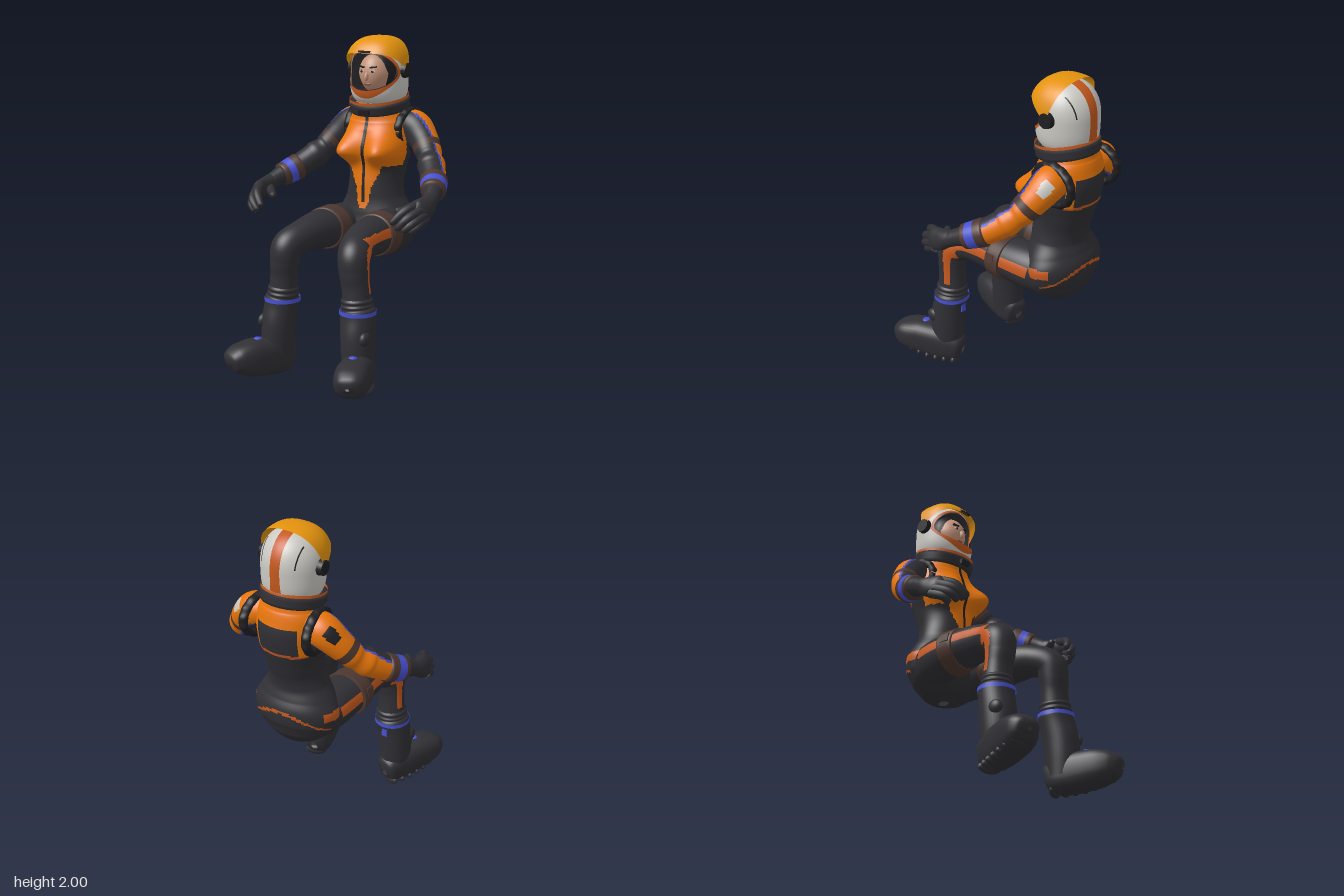
import * as THREE from 'three';
import { mergeVertices } from 'three/addons/utils/BufferGeometryUtils.js';

const V = (x, y, z) => new THREE.Vector3(x, y, z);
const paint = (name, color) => Object.assign(
  new THREE.MeshStandardMaterial({ color, side: THREE.DoubleSide }), { name });

export function createModel() {
  const model = new THREE.Group();
  model.name = 'seatedAstronaut';
  const suit = paint('charcoal suit', 0x303035), black = paint('black', 0x1f1f23);
  const orange = paint('orange', 0xee780a), rust = paint('rust orange', 0xc4581d);
  const amber = paint('amber visor', 0xe3920d), blue = paint('blue trim', 0x4650d2);
  const brown = paint('brown strap', 0x4d3730), white = paint('helmet white', 0xcbc9c3);
  const skin = paint('skin', 0xc39379), lip = paint('lips', 0x984f48);

  const add = (parent, name, geometry, material) => {
    const m = new THREE.Mesh(geometry, material);
    m.name = name;
    parent.add(m);
    return m;
  };
  const box = (parent, name, mat, size, pos, rot = [0, 0, 0]) => {
    const m = add(parent, name, new THREE.BoxGeometry(...size), mat);
    m.position.set(...pos);
    m.rotation.set(...rot);
    return m;
  };
  const ball = (parent, name, mat, size, pos) => {
    const g = new THREE.SphereGeometry(1, 20, 14).scale(...size);
    const m = add(parent, name, g, mat);
    m.position.set(...pos);
    return m;
  };

  // Smooth surface from point(u, v); pick(u, v) chooses the material of each cell
  function grid(parent, name, nu, nv, point, pick) {
    const pos = [], lists = new Map();
    for (let j = 0; j <= nv; j++) for (let i = 0; i <= nu; i++) pos.push(...point(i / nu, j / nv).toArray());
    for (let j = 0; j < nv; j++) for (let i = 0; i < nu; i++) {
      const mat = pick((i + 0.5) / nu, (j + 0.5) / nv);
      if (!lists.has(mat)) lists.set(mat, []);
      const a = j * (nu + 1) + i, b = a + 1, c = b + nu + 1, d = c - 1;
      lists.get(mat).push(a, b, c, a, c, d);
    }
    let g = new THREE.BufferGeometry();
    g.setAttribute('position', new THREE.Float32BufferAttribute(pos, 3));
    g.setIndex([...lists.values()].flat());
    g = mergeVertices(g, 1e-5);
    g.computeVertexNormals();
    let start = 0, k = 0;
    for (const l of lists.values()) { g.addGroup(start, l.length, k++); start += l.length; }
    return add(parent, name, g, [...lists.keys()]);
  }

  // Loft of ellipses along points [x, y, z, radiusA, radiusB]; radiusA lies along ref
  function limb(parent, name, pts, ref, nu, nv, pick, power = 2, warp = p => p) {
    const path = new THREE.CatmullRomCurve3(pts.map(p => V(p[0], p[1], p[2])));
    const radii = new THREE.CatmullRomCurve3(pts.map(p => V(p[3], p[4] ?? p[3], 0)));
    const sq = c => Math.sign(c) * Math.abs(c) ** (2 / power);
    const offset = (u, v) => {
      const T = path.getTangent(v), A = ref.clone().addScaledVector(T, -ref.dot(T)).normalize();
      const B = T.clone().cross(A), r = radii.getPoint(v), f = u * Math.PI * 2;
      return A.multiplyScalar(sq(Math.cos(f)) * r.x).addScaledVector(B, sq(Math.sin(f)) * r.y);
    };
    const point = (u, v) => warp(path.getPoint(v).add(offset(u % 1, v)));
    const choose = pick.isMaterial ? () => pick
      : (u, v) => pick(point(u, v), offset(u, v).normalize(), v, u > 0.5 ? u - 1 : u);
    return grid(parent, name, nu, nv, point, choose);
  }
  const X = V(1, 0, 0), Y = V(0, 1, 0);

  // Swells the front of the torso into the chest
  const chest = p => {
    const ax = Math.abs(p.x), dy = p.y - 1.305;
    const g = Math.exp(-(((ax - 0.112) / 0.082) ** 2) - (dy / (dy > 0 ? 0.1 : 0.066)) ** 2)
      * THREE.MathUtils.clamp((p.z + 0.5) / 0.1, 0, 1);
    return V(p.x * (1 + 0.2 * g), p.y, p.z + 0.118 * g);
  };

  // Torso and pelvis with painted panels
  limb(model, 'torso', [
    [0, 0.642, -0.38, 0.03, 0.03], [0, 0.67, -0.385, 0.15, 0.1], [0, 0.72, -0.385, 0.215, 0.145],
    [0, 0.8, -0.38, 0.262, 0.182], [0, 0.87, -0.38, 0.268, 0.19], [0, 0.95, -0.372, 0.232, 0.172],
    [0, 1.03, -0.368, 0.185, 0.155], [0, 1.12, -0.375, 0.17, 0.16], [0, 1.22, -0.395, 0.182, 0.17],
    [0, 1.32, -0.41, 0.203, 0.185], [0, 1.42, -0.425, 0.205, 0.185], [0, 1.49, -0.425, 0.2, 0.172],
    [0, 1.545, -0.42, 0.172, 0.16], [0, 1.6, -0.42, 0.15, 0.15]], X, 112, 130, p => {
    const ax = Math.abs(p.x), front = p.z > -0.37;
    if (front && ax < 0.009 && p.y > 1) return black;
    if (front && p.y > 1.225) return orange;
    if (front && p.y > 0.96 && ax < 0.045 + Math.max(0, p.y - 1.08) * 0.5 - Math.max(0, 1.02 - p.y) * 0.4) return orange;
    if (p.y > 1.47) return orange;
    if (!front && p.y > 1.29 && ax > 0.128 && ax < 0.166) return orange;
    if (!front && Math.abs(p.y - 1.29) < 0.009 && ax < 0.166) return rust;
    if (ax > 0.2 && p.z < -0.2 && p.z > -0.47 && Math.abs(p.y - 0.873) < 0.028) return rust;
    if (p.z < -0.42 && Math.abs(p.y - 0.785 - 0.11 * Math.cos(p.x * 6.2)) < 0.009) return rust;
    return suit;
  }, 2, chest);

  // Everything that is mirrored; s is 1 for the left side and -1 for the right
  for (const s of [1, -1]) {
    const side = new THREE.Group();
    side.name = s > 0 ? 'leftSide' : 'rightSide';
    side.scale.x = s;
    model.add(side);

    // Padded shoulder harness
    const loop = [];
    for (let i = 0; i <= 28; i++) {
      const f = i / 28 * Math.PI * 2;
      loop.push([0.19 - 0.015 * Math.cos(f), 1.435 + 0.112 * Math.sin(f), -0.46 + 0.138 * Math.cos(f),
        0.028, i % 2 ? 0.025 : 0.018]);
    }
    limb(side, 'shoulderHarness', loop, X, 12, 84, black);

    // Arm with orange back panel, blue piping and shoulder patch
    const patch = V(0.5, 0.55, -0.67).normalize();
    limb(side, 'arm', [
      [0.13, 1.465, -0.45, 0.085], [0.22, 1.45, -0.455, 0.1], [0.295, 1.385, -0.427, 0.09],
      [0.365, 1.3, -0.375, 0.08], [0.422, 1.235, -0.305, 0.08], [0.478, 1.18, -0.225, 0.075],
      [0.52, 1.145, -0.15, 0.066], [0.55, 1.115, -0.07, 0.05], [0.565, 1.09, -0.02, 0.046]],
    Y, 60, 90, (p, n, t) => {
      if (Math.abs(t - 0.32) < 0.02) return brown;
      const d = n.dot(V(0.5, 0.62 - 1.25 * t, -0.74).normalize()), edge = 0.22 + 0.45 * t;
      if (t > 0.14 && t < 0.225 && n.dot(patch) > 0.92) return s > 0 ? white : black;
      if (t < 0.72 && d > edge) return orange;
      return t > 0.1 && t < 0.72 && d > edge - 0.17 ? blue : suit;
    });
    limb(side, 'cuff', [[0.476, 1.18, -0.233, 0.07], [0.484, 1.174, -0.218, 0.083], [0.515, 1.149, -0.16, 0.077],
      [0.533, 1.132, -0.118, 0.072], [0.538, 1.127, -0.106, 0.05]], Y, 28, 25,
    (p, n, t) => Math.abs(t - 0.5) < 0.09 ? blue : brown);

    // Gloved hand
    limb(side, 'palm', [[0.555, 1.11, -0.06, 0.045, 0.045], [0.566, 1.09, -0.01, 0.052, 0.046],
      [0.57, 1.07, 0.04, 0.066, 0.043], [0.57, 1.06, 0.09, 0.066, 0.037], [0.563, 1.05, 0.118, 0.045, 0.022],
      [0.56, 1.045, 0.125, 0.005, 0.005]], V(0.3, -0.9, -0.2), 24, 18, suit);
    const fingers = [
      [[0.555, 1.1, 0.08], [0.51, 1.065, 0.175], [0.455, 1.0, 0.215]],
      [[0.575, 1.07, 0.09], [0.535, 1.025, 0.19], [0.485, 0.97, 0.212]],
      [[0.588, 1.04, 0.08], [0.555, 0.995, 0.175], [0.515, 0.955, 0.195]],
      [[0.588, 1.015, 0.06], [0.57, 0.975, 0.14], [0.54, 0.943, 0.155]],
      [[0.55, 1.075, 0.0], [0.487, 1.055, 0.06], [0.43, 1.05, 0.122]]];
    for (const [a, b, c] of fingers) {
      const e = b.map((v, i) => c[i] + (c[i] - v) * 0.12);
      limb(side, 'finger', [[...a, 0.029], [...b, 0.025], [...c, 0.019], [...e, 0.002]], X, 12, 14, suit);
    }

    // Leg with rust outer stripe that widens at the knee
    limb(side, 'leg', [
      [0.13, 0.815, -0.4, 0.12, 0.13], [0.155, 0.835, -0.27, 0.133, 0.135], [0.172, 0.845, -0.1, 0.13, 0.122],
      [0.185, 0.845, 0.05, 0.112, 0.112], [0.202, 0.83, 0.17, 0.098, 0.094], [0.232, 0.785, 0.258, 0.095, 0.094],
      [0.242, 0.7, 0.272, 0.088, 0.086], [0.25, 0.62, 0.268, 0.083, 0.08], [0.257, 0.54, 0.265, 0.085, 0.085],
      [0.262, 0.48, 0.265, 0.09, 0.09]], X, 64, 90, (p, n, t, u) => {
      const knee = Math.exp(-(((t - 0.52) / 0.07) ** 2));
      const mid = (t < 0.5 ? 0.045 : -0.05) + 0.02 * knee;
      return t > 0.08 && t < 0.84 && Math.abs(u - mid) < 0.04 + 0.035 * knee ? rust : suit;
    });
    limb(side, 'thighStrap', [[0.172, 0.842, -0.152, 0.125, 0.12], [0.172, 0.842, -0.146, 0.147, 0.136],
      [0.174, 0.844, -0.1, 0.143, 0.132], [0.176, 0.845, -0.052, 0.138, 0.129],
      [0.176, 0.845, -0.046, 0.11, 0.11]], X, 36, 12, brown);
    box(side, 'strapBuckle', brown, [0.025, 0.05, 0.06], [0.303, 0.88, -0.09], [0, 0, 0.25]);

    // Boot
    limb(side, 'bootShaft', [[0.257, 0.555, 0.265, 0.08], [0.258, 0.535, 0.265, 0.094], [0.259, 0.52, 0.265, 0.089],
      [0.26, 0.505, 0.265, 0.096], [0.261, 0.492, 0.265, 0.091], [0.264, 0.47, 0.265, 0.105],
      [0.27, 0.42, 0.272, 0.103], [0.278, 0.33, 0.285, 0.1, 0.108], [0.282, 0.23, 0.29, 0.097, 0.106],
      [0.282, 0.1, 0.288, 0.088, 0.095]], X, 32, 40, suit);
    const ring = add(side, 'bootBlueBand', new THREE.CylinderGeometry(0.107, 0.108, 0.024, 40, 1, true), blue);
    ring.position.set(0.264, 0.47, 0.266);
    limb(side, 'foot', [[0.265, 0.095, 0.182, 0.02, 0.03], [0.27, 0.1, 0.2, 0.066, 0.08],
      [0.282, 0.115, 0.26, 0.088, 0.108], [0.315, 0.126, 0.36, 0.099, 0.116], [0.355, 0.137, 0.47, 0.102, 0.11],
      [0.39, 0.14, 0.55, 0.094, 0.086], [0.407, 0.132, 0.598, 0.066, 0.055], [0.412, 0.127, 0.612, 0.01, 0.01]],
    X, 32, 32, suit, 2.6);
    for (let i = 0; i < 7; i++) {
      const t = i / 6, tread = ball(side, 'soleTread', suit,
        [0.07 + 0.02 * Math.sin(t * Math.PI), 0.035, 0.026], [0.28 + 0.115 * t, 0.035 + 0.055 * t * t, 0.228 + 0.315 * t]);
      tread.rotation.set(-0.16 * t, 0.36, 0);
    }
    ball(side, 'bootBuckle', suit, [0.03, 0.042, 0.045], [0.355, 0.335, 0.335]);
    ball(side, 'instepPatch', blue, [0.025, 0.009, 0.022], [0.333, 0.247, 0.428]);
    box(side, 'calfPatch', blue, [0.035, 0.05, 0.008], [0.268, 0.415, 0.167]);

    // Helmet hinge
    const hinge = add(side, 'visorHinge', new THREE.CylinderGeometry(0.042, 0.048, 0.03, 24), black);
    hinge.position.set(0.188, 1.795, -0.4);
    hinge.rotation.z = -Math.PI / 2;

    // Eyes and brows
    ball(side, 'eye', white, [0.016, 0.008, 0.007], [0.038, 1.79, -0.259]);
    ball(side, 'iris', black, [0.008, 0.008, 0.004], [0.038, 1.79, -0.254]);
    box(side, 'eyebrow', black, [0.042, 0.009, 0.012], [0.039, 1.815, -0.262], [0, 0.3, 0.12]);
  }

  // Head inside the helmet
  const headShape = new THREE.SphereGeometry(1, 32, 24), hp = headShape.attributes.position;
  for (let i = 0; i < hp.count; i++) {
    const y = hp.getY(i);
    hp.setXYZ(i, hp.getX(i) * 0.1 * (y < 0 ? 1 + 0.2 * y : 1), y * 0.125, hp.getZ(i) * 0.11);
  }
  headShape.computeVertexNormals();
  add(model, 'head', headShape, skin).position.set(0, 1.773, -0.36);
  ball(model, 'hair', black, [0.112, 0.13, 0.105], [0, 1.792, -0.385]);
  ball(model, 'nose', skin, [0.013, 0.028, 0.018], [0, 1.759, -0.25]).rotation.x = -0.25;
  ball(model, 'mouth', lip, [0.025, 0.009, 0.008], [0, 1.713, -0.262]);

  // Helmet: rounded dome above, straighter walls below, seen from its centre
  const centre = V(0, 1.78, -0.4);
  const shell = (d, k) => {
    const n = d.y > 0 ? 2.2 : 4;
    const r = (Math.hypot(d.x / 0.178, d.z / 0.18) ** n + Math.abs(d.y / 0.2) ** n) ** (-1 / n);
    return d.clone().multiplyScalar(r * k).add(centre);
  };
  const opening = f => 1 / Math.hypot(Math.cos(f) / 1.2, Math.sin(f) / (Math.sin(f) > 0 ? 0.72 : 0.53));
  const rim = f => 0.12 + 0.1 * Math.max(0, -Math.sin(f)) ** 3;
  const helmet = (name, k, pick) => grid(model, name, 72, 36, (u, v) => {
    const f = -(u % 1) * Math.PI * 2, a0 = opening(f), a1 = a0 + rim(f);
    const a = v < 1 / 9 ? a0 + (a1 - a0) * v * 9 : a1 + (Math.PI - a1) * (v - 1 / 9) * 9 / 8;
    return shell(V(Math.sin(a) * Math.cos(f), Math.sin(a) * Math.sin(f), Math.cos(a)), k);
  }, pick);
  helmet('helmetShell', 1, (u, v) => v < 1 / 9 ? rust : white);
  helmet('helmetLining', 0.96, () => suit);

  // Painted strips running over the helmet from front to back
  const strip = (name, mat, x0, x1, a0, a1) => grid(model, name, 4, 40, (u, v) => {
    const a = a0 + (a1 - a0) * v;
    return shell(V(x0 + (x1 - x0) * u, Math.sin(a), Math.cos(a)).normalize(), 1.008);
  }, () => mat);
  strip('helmetStripe', rust, -0.17, 0.17, 1.0, 3.7);
  for (const s of [1, -1]) strip('helmetSeam', black, s * 0.68, s * 0.74, 2.0, 2.9);

  // Raised visor, a wedge that narrows to the hinges and arches over the face
  grid(model, 'visor', 40, 24, (u, v) => {
    const b = (u - 0.5) * 2.9, low = 0.58 + 0.16 * Math.sin(b) ** 2, a = low + (1.89 - low) * v;
    const d = V(Math.sin(b), Math.cos(b) * Math.sin(a), Math.cos(b) * Math.cos(a)), n = 2.5;
    const r = (Math.abs(d.x / 0.198) ** n + Math.abs(d.y / 0.219) ** n + Math.abs(d.z / 0.2) ** n) ** (-1 / n);
    return d.multiplyScalar(r).add(centre);
  }, () => amber);
  box(model, 'visorTab', black, [0.08, 0.012, 0.015], [0, 1.908, -0.224]);

  // Neck ring, tilted down towards the front
  const neck = new THREE.Group();
  neck.name = 'neckRing';
  neck.position.set(0, 1.59, -0.405);
  neck.rotation.x = 0.2;
  model.add(neck);
  const profile = [[0.14, -0.04], [0.178, -0.038], [0.187, -0.02], [0.182, 0], [0.19, 0.012], [0.184, 0.03], [0.15, 0.034]];
  add(neck, 'collar', new THREE.LatheGeometry(profile.map(p => new THREE.Vector2(...p)), 48), suit);
  add(neck, 'collarTrim', new THREE.CylinderGeometry(0.182, 0.183, 0.018, 48, 1, true), rust).position.y = 0.038;
  box(neck, 'collarLatch', black, [0.07, 0.03, 0.025], [0, -0.008, 0.187]);

  return model;
}
